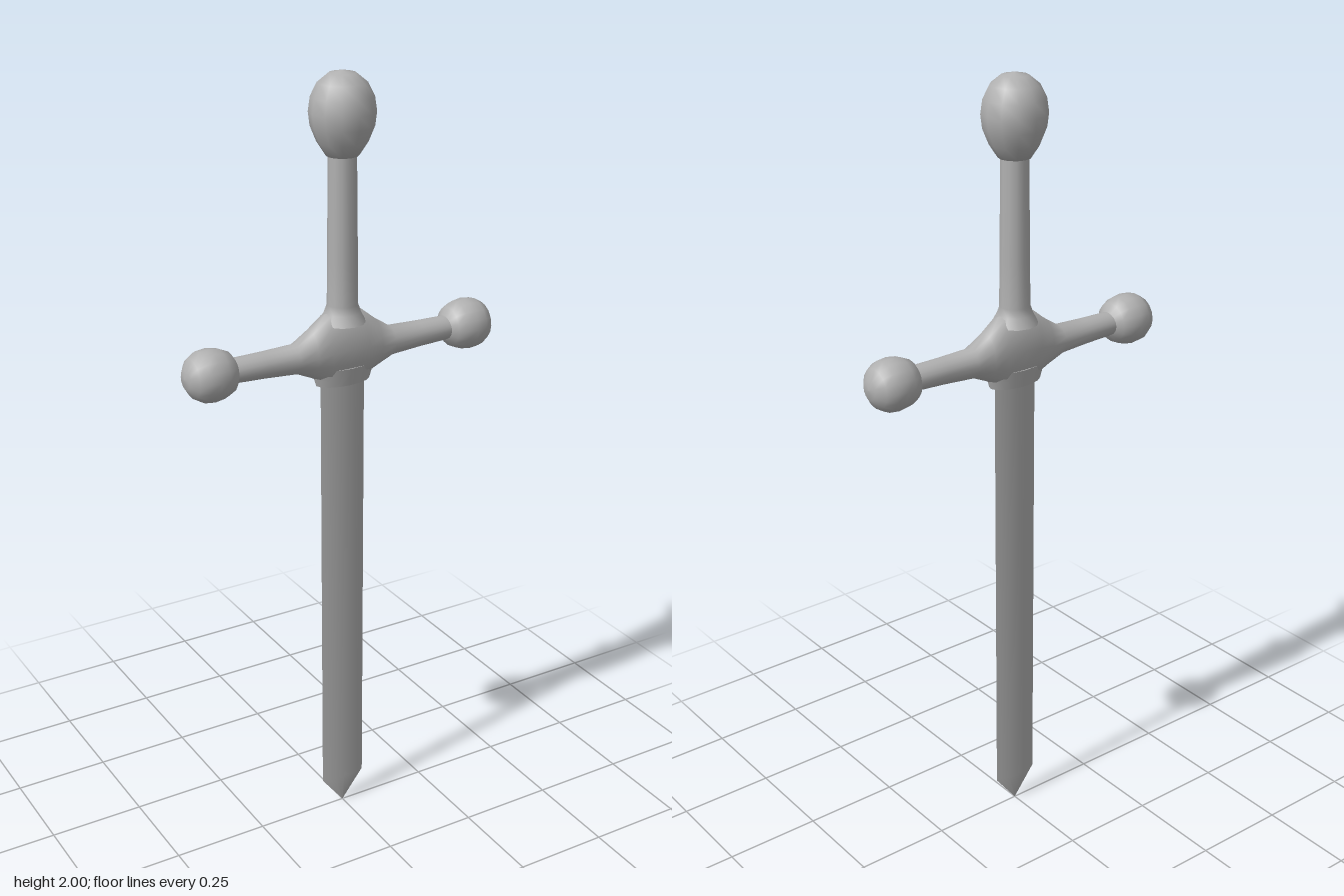
import * as THREE from 'three';

const steel = new THREE.MeshStandardMaterial({ color: 0xb0b0b0 });
steel.name = 'grey steel';

// Smooth surface through rows of points; a closed row joins its end to its start.
function loft(rows, closed) {
  const n = rows[0].length, index = [];
  for (let i = 0; i < rows.length - 1; i++) {
    for (let j = 0; j < (closed ? n : n - 1); j++) {
      const k = (j + 1) % n;
      const a = i * n + j, b = (i + 1) * n + j, c = (i + 1) * n + k, d = i * n + k;
      index.push(a, b, c, a, c, d);
    }
  }
  const geometry = new THREE.BufferGeometry();
  geometry.setAttribute('position', new THREE.Float32BufferAttribute(rows.flat(2), 3));
  geometry.setIndex(index);
  geometry.computeVertexNormals();
  return geometry;
}

function lathe(profile, sides) {
  return new THREE.LatheGeometry(profile.map(([r, y]) => new THREE.Vector2(r, y)), sides);
}

export function createModel() {
  const model = new THREE.Group();
  model.name = 'sword';
  const add = (name, geometry) => {
    const mesh = new THREE.Mesh(geometry, steel);
    mesh.name = name;
    model.add(mesh);
    return mesh;
  };

  // Blade: one slightly domed side, turned round for the other
  const stations = [[1.27, 0.062, 0.01], [0.08, 0.062, 0.01], [0, 0, 0.001]]; // y, half width, half thickness
  const across = [-1, -0.75, -0.4, 0, 0.4, 0.75, 1];
  const bladeSide = loft(stations.map(([y, w, t]) =>
    across.map((u) => [u * w, y, t * (1 - u * u)])), false);
  add('bladeFront', bladeSide);
  add('bladeBack', bladeSide).rotation.y = Math.PI;

  // Crossguard: oval sections along x, swelling at the middle
  const half = [[0.05, 1.42, 1.245, 0.047], [0.09, 1.388, 1.265, 0.044],
    [0.135, 1.359, 1.285, 0.037], [0.22, 1.356, 1.291, 0.034], [0.33, 1.354, 1.296, 0.033]]; // x, top, bottom, half depth
  const sections = [...half.map(([x, ...s]) => [-x, ...s]).reverse(), [0, 1.43, 1.24, 0.049], ...half];
  const sides = 16;
  add('crossguard', loft(sections.map(([x, top, bottom, depth]) =>
    Array.from({ length: sides }, (_, i) => {
      const a = (i / sides) * Math.PI * 2;
      return [x, (top + bottom) / 2 + Math.sin(a) * (top - bottom) / 2, Math.cos(a) * depth];
    })), true));

  // Oval collar over the root of the blade
  const collar = add('bladeCollar', new THREE.CylinderGeometry(0.088, 0.074, 0.045, 16));
  collar.position.y = 1.2625;
  collar.scale.z = 0.5;

  // Balls on both ends of the guard
  const ball = lathe([[0.03, 0.298], [0.05, 0.311], [0.061, 0.335], [0.065, 0.36],
    [0.062, 0.387], [0.049, 0.409], [0.024, 0.425], [0, 0.427]], 16);
  for (const side of [1, -1]) {
    const mesh = add(side > 0 ? 'leftGuardBall' : 'rightGuardBall', ball);
    mesh.rotation.z = -side * Math.PI / 2;
    mesh.position.y = 1.325;
  }

  // Grip, spreading where it meets the guard
  add('grip', lathe([[0.058, 1.395], [0.045, 1.42], [0.038, 1.44], [0.037, 1.55], [0.034, 1.82]], 12));

  // Egg-shaped pommel
  add('pommel', lathe([[0, 1.8], [0.04, 1.803], [0.061, 1.835], [0.076, 1.872], [0.08, 1.905],
    [0.075, 1.94], [0.059, 1.972], [0.033, 1.993], [0, 2]], 12));

  return model;
}
